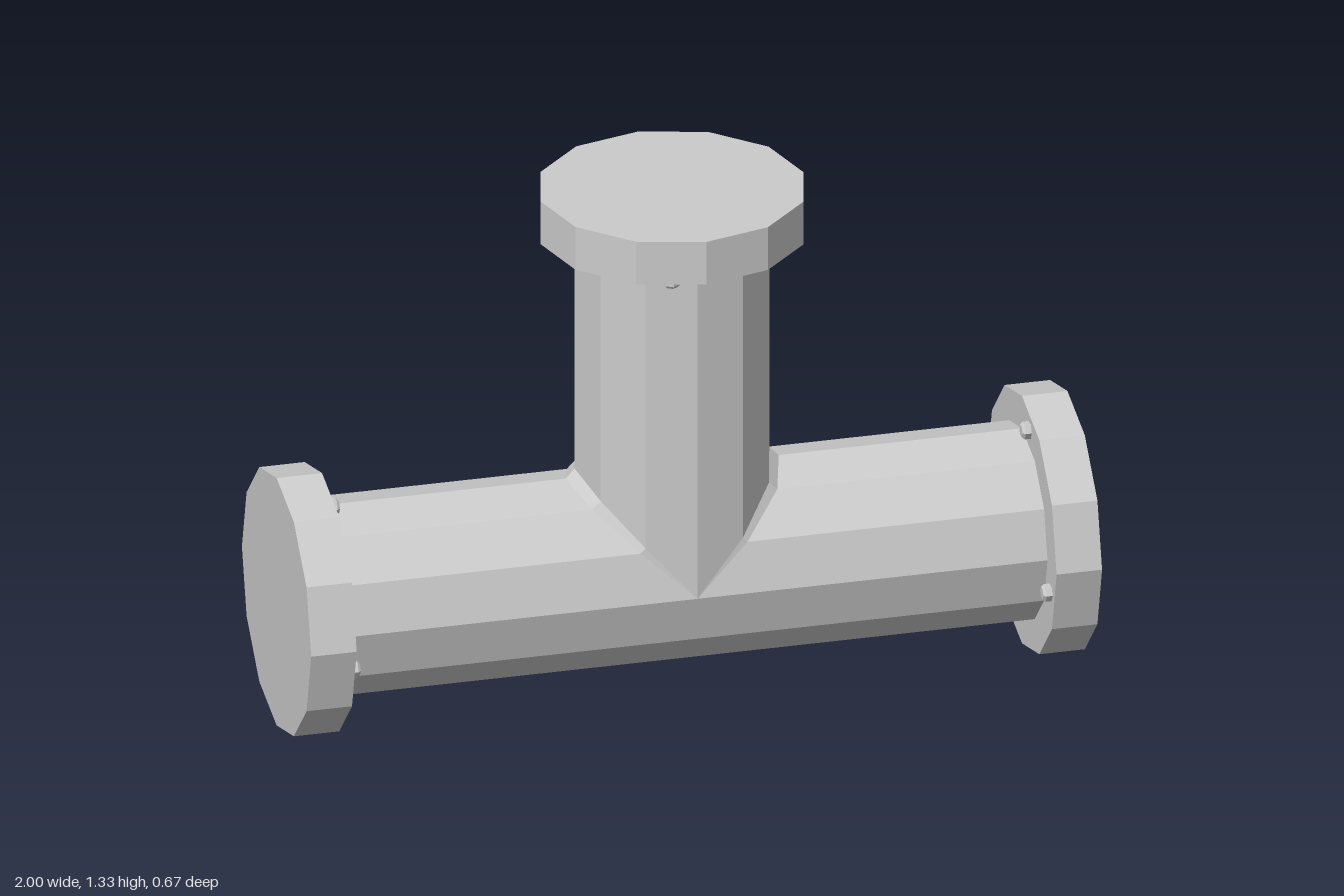
import * as THREE from 'three';

const SIDES = 12;
const AXIS_Y = 0.333;      // height of the horizontal pipe's axis
const PIPE_R = 0.246;
const FLANGE_R = 0.333;
const FLANGE_T = 0.115;
const TOP = 1.333;

const material = new THREE.MeshStandardMaterial({ color: 0xcccccc, flatShading: true });
const thinMaterial = new THREE.MeshStandardMaterial({ color: 0xcccccc, flatShading: true, side: THREE.DoubleSide });

function addMesh(parent, name, geometry, mat = material) {
  const mesh = new THREE.Mesh(geometry, mat);
  mesh.name = name;
  parent.add(mesh);
  return mesh;
}

// Hexagonal bolt head with a chamfered rim, growing along +y
const boltGeometry = new THREE.LatheGeometry(
  [[0.022, 0], [0.022, 0.015], [0.016, 0.022], [0, 0.022]].map(([x, y]) => new THREE.Vector2(x, y)), 6);

// Closed flange whose outer face lies at local y = 0, with four bolts on its inner face
function makeFlange(name, mirror) {
  const group = new THREE.Group();
  group.name = name;
  addMesh(group, 'flangePlate', new THREE.CylinderGeometry(FLANGE_R, FLANGE_R, FLANGE_T, SIDES))
    .position.y = -FLANGE_T / 2;
  for (let i = 0; i < 4; i++) {
    const a = THREE.MathUtils.degToRad(-15 + i * 90);
    const bolt = addMesh(group, 'bolt', boltGeometry);
    bolt.position.set(mirror * 0.284 * Math.sin(a), -FLANGE_T, 0.284 * Math.cos(a));
    bolt.rotation.x = Math.PI;
  }
  return group;
}

// Upright pipe, its lower rim cut along the mitre y = axis + |x|
function branchGeometry() {
  const top = TOP - FLANGE_T;
  const geometry = new THREE.CylinderGeometry(PIPE_R, PIPE_R, top, SIDES, 1, true);
  geometry.translate(0, top / 2, 0);
  const pos = geometry.attributes.position;
  for (let i = 0; i < pos.count; i++) {
    if (pos.getY(i) < top / 2) pos.setY(i, AXIS_Y + Math.abs(pos.getX(i)));
  }
  return geometry;
}

// Narrow bevel along the mitre, tapering to nothing at the front and back
function seamGeometry(side) {
  const points = [], index = [];
  for (let i = 0; i <= SIDES / 2; i++) {
    const a = -Math.PI / 2 + (i * 2 * Math.PI) / SIDES;
    const h = PIPE_R * Math.cos(a), z = PIPE_R * Math.sin(a), d = 0.024 * Math.cos(a);
    points.push(side * h, AXIS_Y + h + d, z, side * (h + d), AXIS_Y + h, z);
    if (i) {
      const k = 2 * i;
      const quad = [k - 2, k, k + 1, k - 2, k + 1, k - 1];
      index.push(...(side > 0 ? quad : quad.reverse()));
    }
  }
  const geometry = new THREE.BufferGeometry();
  geometry.setAttribute('position', new THREE.Float32BufferAttribute(points, 3));
  geometry.setIndex(index);
  geometry.computeVertexNormals();
  return geometry;
}

export function createModel() {
  const model = new THREE.Group();
  model.name = 'pipeTee';

  // Pipes
  const length = 2 - 2 * FLANGE_T;
  const mainPipe = addMesh(model, 'mainPipe',
    new THREE.CylinderGeometry(PIPE_R, PIPE_R, length, SIDES, 1, true));
  mainPipe.rotation.z = Math.PI / 2;
  mainPipe.position.y = AXIS_Y;
  addMesh(model, 'branchPipe', branchGeometry());

  // Flanges and joint bevels
  const topFlange = makeFlange('topFlange', 1);
  topFlange.position.y = TOP;
  model.add(topFlange);
  for (const side of [-1, 1]) {
    const flange = makeFlange(side > 0 ? 'leftFlange' : 'rightFlange', -side);
    flange.rotation.z = -side * Math.PI / 2;
    flange.position.set(side, AXIS_Y, 0);
    model.add(flange);
    addMesh(model, side > 0 ? 'leftSeam' : 'rightSeam', seamGeometry(side), thinMaterial);
  }
  return model;
}
